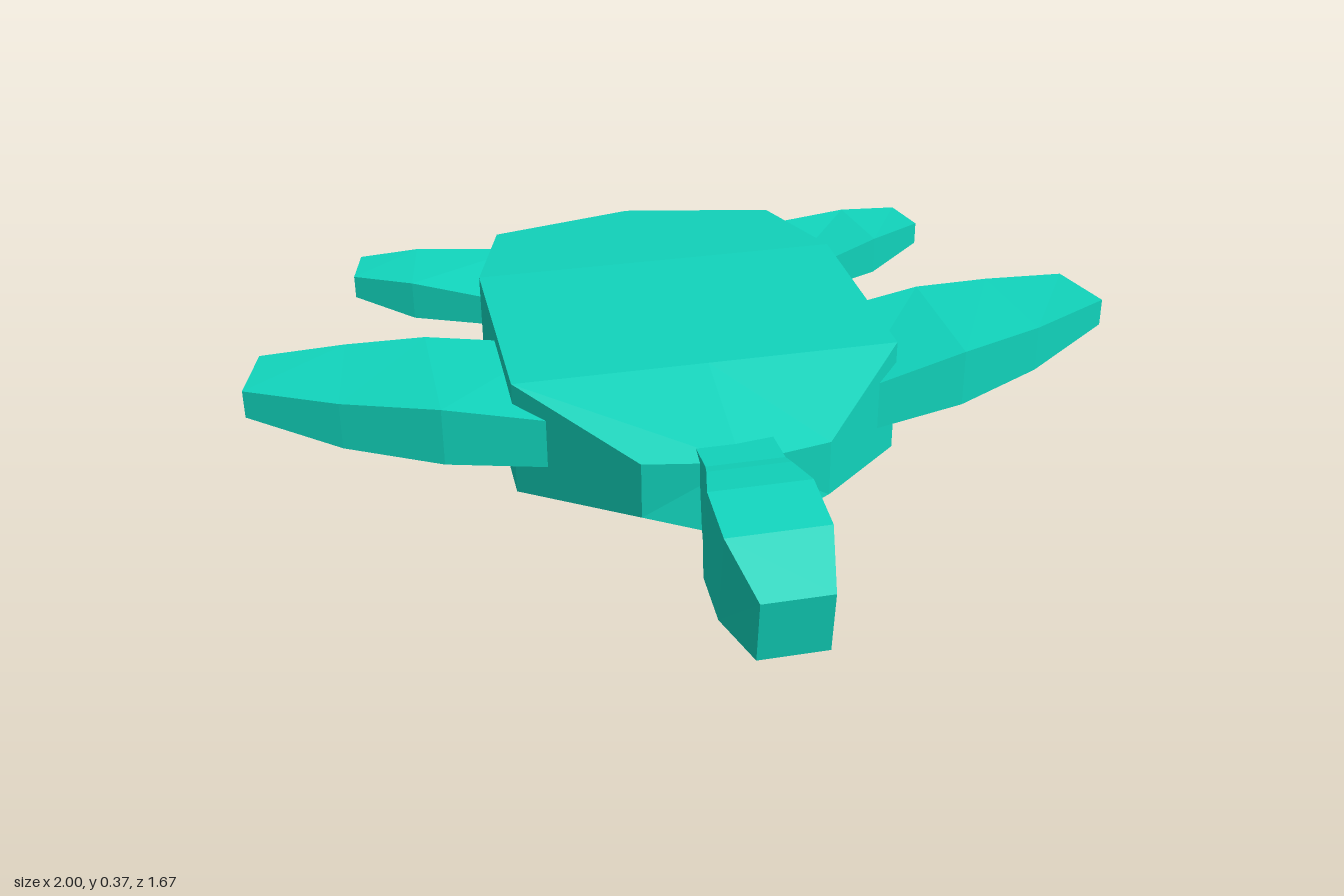
import * as THREE from 'three';

const skin = new THREE.MeshStandardMaterial({ color: 0x11d4bc, flatShading: true });

// Skin a series of rings (each clockwise seen from the far end) and close both ends.
function loft(name, rings) {
  const pos = [];
  const tri = (...pts) => pts.forEach((p) => pos.push(...p));
  const n = rings[0].length;
  for (let i = 0; i < rings.length - 1; i++) {
    for (let j = 0; j < n; j++) {
      const k = (j + 1) % n;
      const [a, b, c, d] = [rings[i][j], rings[i][k], rings[i + 1][k], rings[i + 1][j]];
      tri(a, d, c);
      tri(a, c, b);
    }
  }
  const first = rings[0], last = rings[rings.length - 1];
  for (let s = 1; s < n - 1; s++) {
    const k = (1 + s) % n, m = (2 + s) % n;
    tri(first[1], first[k], first[m]);
    tri(last[1], last[m], last[k]);
  }
  const geo = new THREE.BufferGeometry();
  geo.setAttribute('position', new THREE.Float32BufferAttribute(pos, 3));
  geo.computeVertexNormals();
  const mesh = new THREE.Mesh(geo, skin);
  mesh.name = name;
  return mesh;
}

// Shell: flat top, vertical sides and a V-shaped keel.
function shell() {
  // half width, z of sides, z of top middle, z of keel, top y, side bottom y, keel y, top middle y
  const sections = [
    [0.355, -0.74, -0.84, -0.84, 0.35, 0.12, 0.045, 0.34],
    [0.435, -0.45, -0.45, -0.45, 0.37, 0.1, 0, 0.37],
    [0.435, 0.1, 0.1, 0.1, 0.37, 0.1, 0, 0.37],
    [0.205, 0.36, 0.4, 0.43, 0.29, 0.16, 0.12, 0.29],
  ];
  return loft('shell', sections.map(([w, zs, zt, zk, top, low, keel, mid]) => [
    [-w, top, zs], [0, mid, zt], [w, top, zs],
    [w, low, zs], [0, keel, zk], [-w, low, zs],
  ]));
}

// Head and neck: slanted rectangular sections.
function head() {
  // half width, top z, top y, bottom z, bottom y
  const sections = [
    [0.085, 0.28, 0.3, 0.28, 0.18],
    [0.085, 0.43, 0.31, 0.4, 0.14],
    [0.09, 0.46, 0.316, 0.43, 0.13],
    [0.11, 0.55, 0.325, 0.52, 0.1],
    [0.11, 0.69, 0.305, 0.65, 0.085],
    [0.075, 0.835, 0.245, 0.815, 0.1],
  ];
  return loft('head', sections.map(([w, zt, yt, zb, yb]) => [
    [-w, yt, zt], [w, yt, zt], [w, yb, zb], [-w, yb, zb],
  ]));
}

// Flipper running sideways; the mirrored side reverses each ring.
function flipper(name, side, sections) {
  return loft(name, sections.map(([xf, zf, xb, zb, top, low, topFront = top]) => {
    const ring = [
      [side * xf, topFront, zf], [side * xb, top, zb],
      [side * xb, low, zb], [side * xf, low, zf],
    ];
    return side < 0 ? ring.reverse() : ring;
  }));
}

export function createModel() {
  const model = new THREE.Group();
  model.name = 'turtle';
  model.add(shell(), head());

  // front x, front z, back x, back z, top y, bottom y, top y at front edge
  const frontSections = [
    [0.3, 0.185, 0.3, -0.165, 0.32, 0.192, 0.3],
    [0.59, 0.125, 0.59, -0.215, 0.345, 0.205, 0.34],
    [0.8, 0.04, 0.77, -0.225, 0.342, 0.225, 0.335],
    [1, -0.055, 0.96, -0.215, 0.34, 0.275],
  ];
  const rearSections = [
    [0.3, -0.43, 0.3, -0.705, 0.32, 0.228, 0.285],
    [0.59, -0.54, 0.56, -0.73, 0.335, 0.237, 0.33],
    [0.725, -0.61, 0.7, -0.725, 0.33, 0.275],
  ];
  for (const [label, side] of [['left', 1], ['right', -1]]) {
    model.add(flipper(`${label}FrontFlipper`, side, frontSections));
    model.add(flipper(`${label}RearFlipper`, side, rearSections));
  }
  return model;
}
